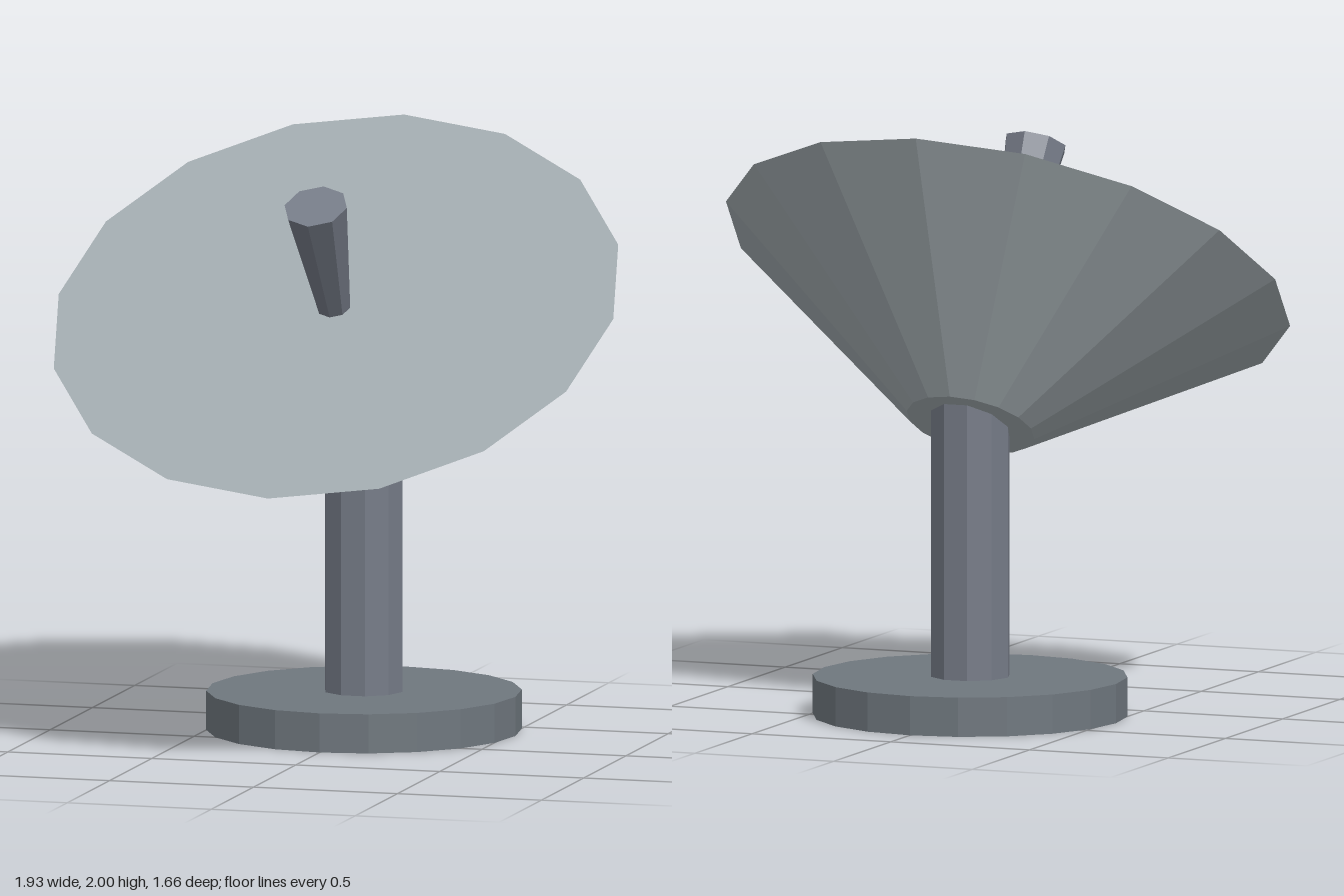
import * as THREE from 'three';

const mat = (name, color) => {
  const m = new THREE.MeshStandardMaterial({ color, flatShading: true });
  m.name = name;
  return m;
};

export function createModel() {
  const group = new THREE.Group();
  group.name = 'satelliteDish';
  const dishGrey = mat('dish light grey', 0xa0a9ad);
  const metalGrey = mat('blue grey metal', 0x757b87);
  const baseGrey = mat('base grey', 0x6f777e);

  // Faceted frustum whose axis runs between two [y, z] points in the x = 0 plane
  const frustum = (name, from, to, rFrom, rTo, sides, material, turn = 0) => {
    const dy = to[0] - from[0], dz = to[1] - from[1];
    const geo = new THREE.CylinderGeometry(rTo, rFrom, Math.hypot(dy, dz), sides);
    geo.rotateY(turn);
    const mesh = new THREE.Mesh(geo, material);
    mesh.name = name;
    mesh.position.set(0, (from[0] + to[0]) / 2, (from[1] + to[1]) / 2);
    mesh.rotation.x = Math.atan2(dz, dy);
    group.add(mesh);
  };

  // Stand, set behind the centre
  frustum('base', [0, -0.307], [0.132, -0.307], 0.526, 0.526, 20, baseGrey);
  frustum('pole', [0.132, -0.305], [1.08, -0.305], 0.135, 0.135, 10, metalGrey, Math.PI / 2);

  // Tilted dish and the feed horn floating just above its face
  frustum('dish', [0.975, -0.303], [1.475, 0.024], 0.218, 0.963, 16, dishGrey);
  frustum('feedHorn', [1.478, 0.05], [1.848, 0.264], 0.057, 0.108, 8, metalGrey);

  return group;
}
